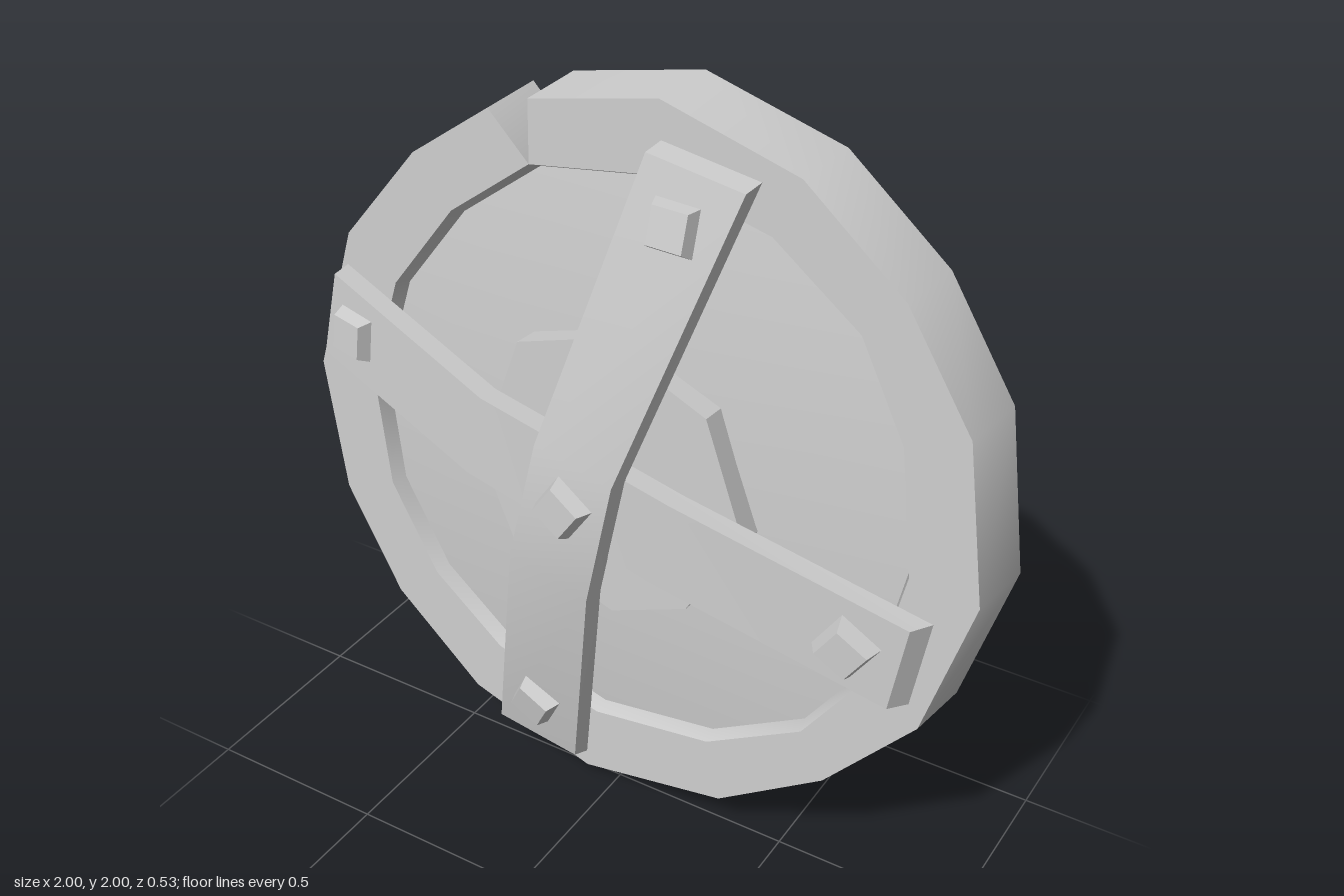
import * as THREE from 'three';
import { toCreasedNormals } from 'three/addons/utils/BufferGeometryUtils.js';

const material = new THREE.MeshStandardMaterial({ color: 0xcccccc });

// Uneven hand-cut outlines (x, y about the centre), clockwise from the notch
const OUTER = [[-0.29, 0.92], [0.08, 1], [0.46, 0.9], [0.74, 0.68], [0.93, 0.4], [1.003, -0.02],
  [0.89, -0.42], [0.65, -0.7], [0.35, -0.91], [-0.08, -0.998], [-0.47, -0.89], [-0.75, -0.67],
  [-0.93, -0.38], [-1, 0], [-0.88, 0.42], [-0.65, 0.7], [-0.41, 0.87]];
const INNER = [[-0.29, 0.75], [0.07, 0.81], [0.38, 0.74], [0.62, 0.57], [0.75, 0.33], [0.8, 0],
  [0.74, -0.3], [0.56, -0.56], [0.29, -0.72], [-0.06, -0.78], [-0.39, -0.7], [-0.61, -0.54],
  [-0.76, -0.3], [-0.81, 0.02], [-0.72, 0.32], [-0.53, 0.57], [-0.29, 0.75]];
const BOSS = [[0.25, -0.27], [0.4, -0.02], [0.28, 0.28], [-0.02, 0.4], [-0.27, 0.315],
  [-0.39, -0.04], [-0.28, -0.27], [0.03, -0.365]];

// Strap stations: left edge, right edge, height, outward reach of the underside
const UPRIGHT = [
  [[-0.33, -0.865], [-0.078, -0.89], 0.075, 1.03],
  [[-0.175, -0.185], [0.06, -0.235], 0.235, 1],
  [[-0.1, 0.155], [0.125, 0.11], 0.235, 1],
  [[0.09, 0.895], [0.352, 0.86], 0.08, 1.01],
];
const CROSS = [
  [[-0.867, 0.33], [-0.915, 0.092], 0.07, 1.01],
  [[-0.31, 0.188], [-0.355, -0.04], 0.175, 1],
  [[0.25, 0.08], [0.2, -0.155], 0.175, 1],
  [[0.85, -0.088], [0.815, -0.325], 0.075, 1.035],
];

// Studs: x, y, z, outward tilt, turn
const STUDS = [
  [0.19, 0.75, 0.113, 0.21, -0.03], [-0.18, -0.72, 0.12, 0.22, -0.5],
  [-0.785, 0.19, 0.097, 0.16, -0.07], [0.707, -0.178, 0.11, 0.16, -0.6],
  [-0.012, 0.01, 0.245, 0, -0.6],
];

function mesh(name, geometry) {
  const m = new THREE.Mesh(toCreasedNormals(geometry, 0.6), material);
  m.name = name;
  return m;
}

const fromTriangles = (points) => new THREE.BufferGeometry().setFromPoints(points);

const loop = (pts, scale, z, dx = 0, dy = 0) =>
  pts.map(([x, y]) => new THREE.Vector3(x * scale + dx, y * scale + dy, z));

// Joins the long edges of a bar into a closed skin with both ends capped
function sweep(edges) {
  const tris = [];
  const last = edges[0].length - 1;
  edges.forEach((p, j) => {
    const q = edges[(j + 1) % edges.length];
    for (let k = 0; k < last; k++) tris.push(p[k], q[k], q[k + 1], p[k], q[k + 1], p[k + 1]);
  });
  for (let j = 1; j < edges.length - 1; j++) {
    tris.push(edges[0][0], edges[j + 1][0], edges[j][0]);
    tris.push(edges[0][last], edges[j][last], edges[j + 1][last]);
  }
  return fromTriangles(tris);
}

const plateFront = loop(INNER, 0.98, -0.04);
const plateBack = loop(INNER, 0.965, -0.13);

// Rim: six-sided cross-section run round to both sides of the V notch
const rimGeometry = () => sweep([
  loop(INNER, 1, 0), plateFront, plateBack, loop(INNER, 1, -0.195),
  loop(OUTER, 1, -0.195, -0.01, 0.006), loop(OUTER, 0.985, 0, -0.008, 0.006),
]);

// Plate: domed towards the boss in front, nearly flat behind
function plateGeometry() {
  const front = new THREE.Vector3(0, 0, 0.055);
  const back = new THREE.Vector3(0, 0, -0.12);
  const tris = [];
  for (let k = 0; k < INNER.length - 1; k++) {
    tris.push(front, plateFront[k + 1], plateFront[k], back, plateBack[k], plateBack[k + 1]);
  }
  return fromTriangles(tris);
}

// Strap: rectangular section through each station, ends cut back on the face
function strapGeometry(stations) {
  const edge = (side, under) => stations.map((s) => {
    const [x, y] = s[side];
    const reach = under ? s[3] : 1;
    return new THREE.Vector3(x * reach, y * reach, s[2] - (under ? 0.062 : 0));
  });
  return sweep([edge(0, false), edge(1, false), edge(1, true), edge(0, true)]);
}

// Square tapered stud leaning away from the centre
function stud([x, y, z, tilt, turn]) {
  const g = new THREE.CylinderGeometry(0.066, 0.094, 0.06, 4);
  g.rotateY(Math.PI / 4).rotateX(Math.PI / 2).rotateZ(turn);
  const m = mesh('stud', g);
  m.position.set(x, y, z);
  m.quaternion.setFromAxisAngle(new THREE.Vector3(-y, x, 0).normalize(), tilt);
  return m;
}

export function createModel() {
  const model = new THREE.Group();
  model.name = 'roundShield';

  // Whole shield leans back and turns slightly
  const shield = new THREE.Group();
  shield.name = 'shield';
  shield.position.set(0, 1, -0.006);
  shield.rotation.set(-0.045, -0.04, 0);
  model.add(shield);

  shield.add(mesh('rim', rimGeometry()), mesh('plate', plateGeometry()));

  // Central boss
  const bossShape = new THREE.Shape(BOSS.map(([x, y]) => new THREE.Vector2(x, y)));
  const boss = new THREE.ExtrudeGeometry(bossShape, { depth: 0.11, bevelEnabled: false });
  shield.add(mesh('boss', boss.translate(0, 0, -0.035)));

  // Crossed straps, the upright one on top, held by studs
  shield.add(mesh('crossStrap', strapGeometry(CROSS)));
  shield.add(mesh('uprightStrap', strapGeometry(UPRIGHT)));
  shield.add(...STUDS.map(stud));
  return model;
}
